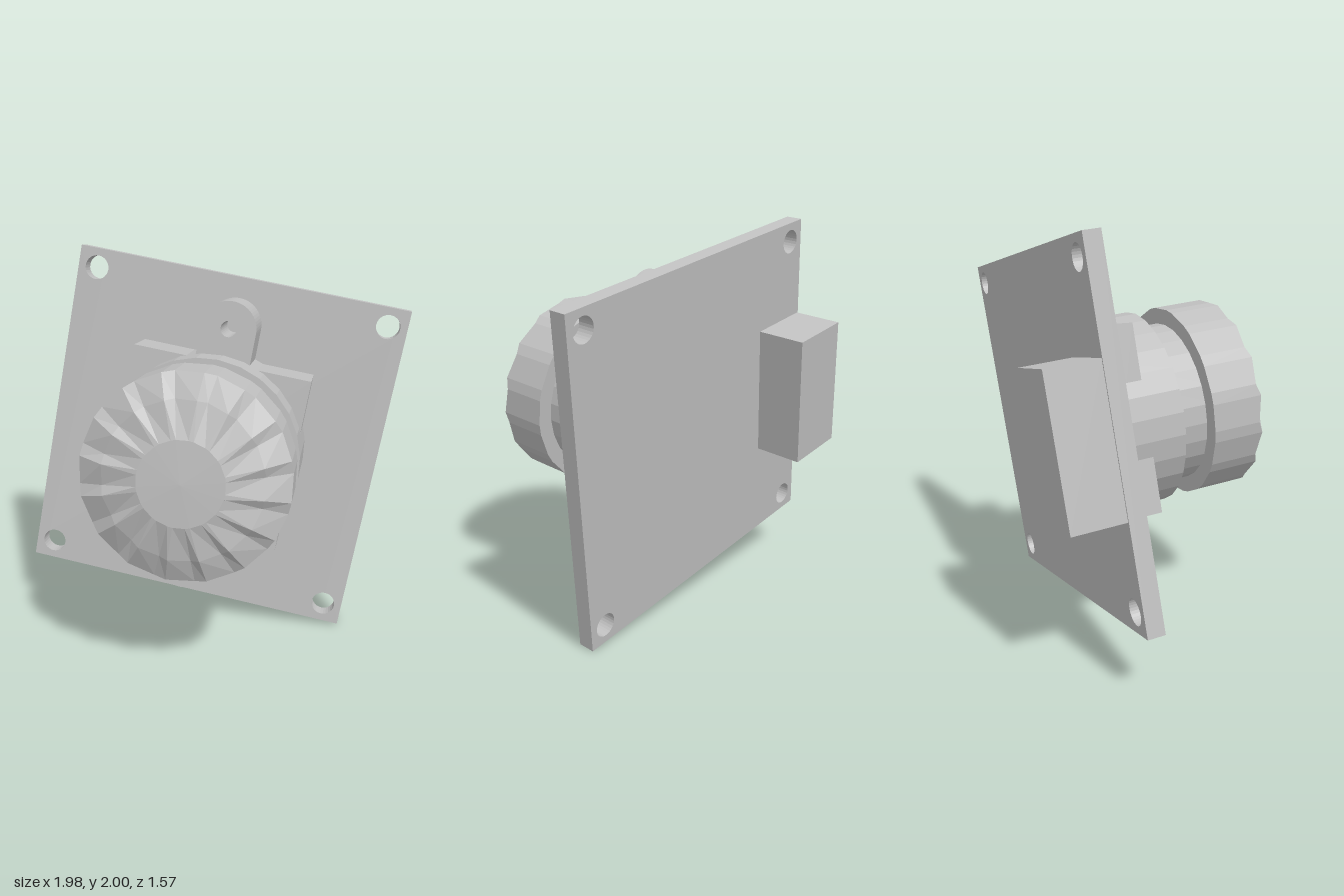
import * as THREE from 'three';

const grey = new THREE.MeshStandardMaterial({ color: 0xc0c0c0, flatShading: true });
grey.name = 'grey';

export function createModel() {
  const model = new THREE.Group();
  model.name = 'cameraModule';

  const add = (name, geometry, x = 0, y = 0, z = 0) => {
    const mesh = new THREE.Mesh(geometry, grey);
    mesh.name = name;
    mesh.position.set(x, y, z);
    model.add(mesh);
    return mesh;
  };
  const hole = (shape, x, y, r) =>
    shape.holes.push(new THREE.Path().absarc(x, y, r, 0, Math.PI * 2, true));
  const extrude = (shape, depth) =>
    new THREE.ExtrudeGeometry(shape, { depth, bevelEnabled: false, curveSegments: 14 });
  // cylinder whose axis points forward, from z0 to z1
  const barrel = (name, r, z0, z1, sides) =>
    add(name, new THREE.CylinderGeometry(r, r, z1 - z0, sides).rotateX(Math.PI / 2), 0, 0, (z0 + z1) / 2);

  // circuit board with four corner holes, its front face at z = 0
  const H = 0.862, T = 0.085;
  const plate = new THREE.Shape([[-H, -H], [H, -H], [H, H], [-H, H]].map(p => new THREE.Vector2(...p)));
  for (const x of [-1, 1]) for (const y of [-1, 1]) hole(plate, x * 0.764, y * 0.764, 0.061);
  add('circuitBoard', extrude(plate, T), 0, 0, -T);

  // connector block on the back
  add('rearConnector', new THREE.BoxGeometry(0.35, 0.694, 0.26), -0.68, 0, -0.213);

  // lens holder: square base and two screw lugs
  add('holderBase', new THREE.BoxGeometry(0.9, 0.9, 0.248), 0, 0, 0.124);
  for (const side of [1, -1]) {
    const lug = new THREE.Shape();
    lug.moveTo(-0.137, 0.4);
    lug.lineTo(0.137, 0.4);
    lug.absarc(0, 0.62, 0.137, 0, Math.PI, false);
    lug.closePath();
    hole(lug, 0, 0.62, 0.04);
    const mesh = add(side > 0 ? 'upperLug' : 'lowerLug', extrude(lug, 0.25));
    if (side < 0) mesh.rotation.z = Math.PI;
  }

  // lens barrel
  barrel('holderCollar', 0.488, 0, 0.42, 28);
  barrel('lensNeck', 0.405, 0.4, 0.62, 28);

  // lens head: rings of [radius, ridge z, groove z], grooved like a saw-tooth
  const rings = [[0.2, 0.938, 0.938], [0.37, 0.9, 0.875], [0.486, 0.84, 0.822], [0.486, 0.578, 0.578], [0.38, 0.578, 0.578]];
  const teeth = 16, n = teeth * 2;
  const pos = [0, 0, 0.946], index = [];
  rings.forEach(([r, ridge, groove], k) => {
    for (let i = 0; i < n; i++) {
      const a = (Math.floor(i / 2) + (i % 2) * 0.7) / teeth * Math.PI * 2;
      pos.push(r * Math.cos(a), r * Math.sin(a), i % 2 ? groove : ridge);
      const j = (i + 1) % n, b = 1 + k * n;
      if (k === 0) index.push(0, b + i, b + j);
      else index.push(b - n + i, b + i, b + j, b - n + i, b + j, b - n + j);
    }
  });
  const head = new THREE.BufferGeometry();
  head.setAttribute('position', new THREE.Float32BufferAttribute(pos, 3));
  head.setIndex(index);
  head.computeVertexNormals();
  add('lensHead', head);

  // tilt of the whole module
  const u = new THREE.Vector3(0.9355, -0.174, 0.308).normalize();
  const w = new THREE.Vector3().crossVectors(u, new THREE.Vector3(0.197, 0.979, -0.046)).normalize();
  const v = new THREE.Vector3().crossVectors(w, u);
  model.quaternion.setFromRotationMatrix(new THREE.Matrix4().makeBasis(u, v, w));
  model.position.set(-0.013, 1.004, -0.175);

  const root = new THREE.Group();
  root.name = 'tiltedCameraModule';
  root.add(model);
  return root;
}
